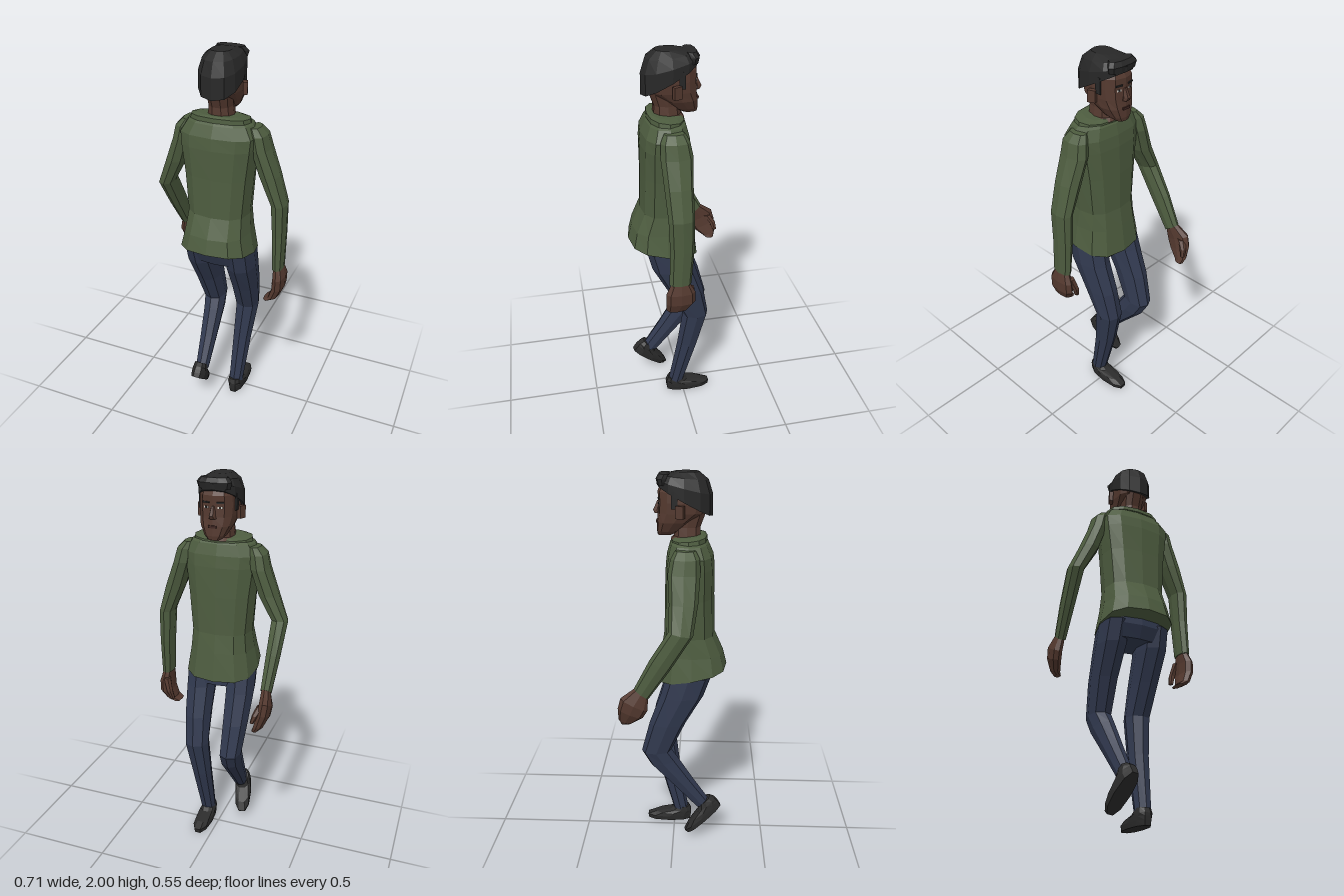
import * as THREE from 'three';

const paint = (name, color) => {
  const m = new THREE.MeshStandardMaterial({ color });
  m.name = name;
  return m;
};

// Faceted skin over elliptical rings listed top to bottom: [x, y, z, halfWidth, halfDepth, slope along z]
function loft(rings, sides = 8, power = 0.85) {
  const pos = [];
  const bend = (v) => Math.sign(v) * Math.abs(v) ** power;
  const point = ([x, y, z, rx, rz, slope = 0], j) => {
    const a = (j / sides) * Math.PI * 2;
    const dz = rz * bend(Math.sin(a));
    return [x + rx * bend(Math.cos(a)), y + slope * dz, z + dz];
  };
  const first = rings[0], last = rings[rings.length - 1];
  for (let j = 0; j < sides; j++) {
    const k = (j + 1) % sides;
    pos.push(...first.slice(0, 3), ...point(first, k), ...point(first, j));
    pos.push(...last.slice(0, 3), ...point(last, j), ...point(last, k));
    for (let i = 0; i < rings.length - 1; i++) {
      const a = point(rings[i], j), b = point(rings[i], k);
      const c = point(rings[i + 1], j), d = point(rings[i + 1], k);
      pos.push(...a, ...b, ...c, ...b, ...d, ...c);
    }
  }
  const g = new THREE.BufferGeometry();
  g.setAttribute('position', new THREE.Float32BufferAttribute(pos, 3));
  g.computeVertexNormals();
  return g;
}

export function createModel() {
  const model = new THREE.Group();
  model.name = 'walkingMan';
  const green = paint('sweaterGreen', 0x4d5c3f);
  const blue = paint('trouserBlue', 0x31394f);
  const skin = paint('skinBrown', 0x54392f);
  const black = paint('hairBlack', 0x272727);
  const leather = paint('shoeBlack', 0x2b2b2b);
  const white = paint('eyeWhite', 0xd8d4cc);
  const lip = paint('lipBrown', 0x3f2622);

  const add = (name, geometry, material, parent = model) => {
    const m = new THREE.Mesh(geometry, material);
    m.name = name;
    parent.add(m);
    return m;
  };
  const box = (name, size, at, material, yaw = 0) => {
    const m = add(name, new THREE.BoxGeometry(...size), material);
    m.position.set(...at);
    m.rotation.y = yaw;
    return m;
  };

  // Sweater body with a flared hem, and the collar
  add('sweater', loft([
    [0, 1.685, 0.075, 0.135, 0.075], [0, 1.665, 0.075, 0.165, 0.095],
    [0, 1.61, 0.08, 0.2, 0.115], [0, 1.55, 0.08, 0.195, 0.122],
    [0, 1.4, 0.078, 0.175, 0.125], [0, 1.2, 0.08, 0.158, 0.13],
    [0, 1.1, 0.095, 0.168, 0.16], [0, 0.985, 0.095, 0.19, 0.18, 0.2],
  ], 12, 0.75), green);
  add('collar', loft([
    [0, 1.698, 0.075, 0.105, 0.075, 0.1], [0, 1.69, 0.075, 0.15, 0.088, 0.1],
    [0, 1.668, 0.075, 0.155, 0.09, 0.1],
  ], 12), green);

  // Sleeves: one hangs, the other swings forward
  const shoulder = (s) => [
    [s * 0.17, 1.655, 0.06, 0.03, 0.05], [s * 0.19, 1.62, 0.06, 0.045, 0.07],
    [s * 0.205, 1.55, 0.055, 0.048, 0.078], [s * 0.25, 1.42, 0.055, 0.052, 0.07],
  ];
  add('leftSleeve', loft([...shoulder(1), [0.303, 1.27, 0.052, 0.04, 0.064],
    [0.308, 1.1, 0.05, 0.034, 0.06], [0.312, 0.91, 0.06, 0.028, 0.056]]), green);
  add('rightSleeve', loft([...shoulder(-1), [-0.313, 1.29, 0.045, 0.043, 0.058, -0.2],
    [-0.312, 1.13, -0.055, 0.036, 0.05, -0.5], [-0.308, 0.975, -0.148, 0.028, 0.036, -0.75]]), green);

  // Hands with curled fingers and thumbs
  add('leftHand', loft([[0.312, 0.925, 0.06, 0.024, 0.04], [0.322, 0.86, 0.06, 0.03, 0.074],
    [0.32, 0.8, 0.06, 0.03, 0.075], [0.3, 0.745, 0.075, 0.026, 0.055],
    [0.268, 0.725, 0.08, 0.02, 0.045]]), skin);
  add('leftThumb', loft([[0.305, 0.88, 0.01, 0.02, 0.022], [0.285, 0.81, -0.005, 0.017, 0.018],
    [0.272, 0.76, 0.005, 0.012, 0.014]], 6), skin);
  add('rightHand', loft([[-0.308, 0.985, -0.145, 0.022, 0.03, -0.75],
    [-0.32, 0.92, -0.185, 0.03, 0.066, -0.5], [-0.315, 0.87, -0.205, 0.03, 0.062, -0.4],
    [-0.295, 0.815, -0.232, 0.024, 0.035, -0.3], [-0.28, 0.795, -0.235, 0.016, 0.022]]), skin);
  add('rightThumb', loft([[-0.305, 0.93, -0.22, 0.02, 0.022], [-0.285, 0.89, -0.25, 0.016, 0.018],
    [-0.272, 0.85, -0.26, 0.011, 0.012]], 6), skin);

  // Trousers
  add('hips', loft([[0, 1.05, 0.08, 0.15, 0.115], [0, 0.97, 0.08, 0.178, 0.115],
    [0, 0.905, 0.065, 0.165, 0.1]], 12, 0.75), blue);
  add('leftTrouserLeg', loft([[0.11, 0.99, 0.08, 0.075, 0.115], [0.112, 0.88, 0.055, 0.075, 0.112],
    [0.108, 0.72, -0.012, 0.069, 0.095], [0.1, 0.56, -0.065, 0.064, 0.07],
    [0.086, 0.35, -0.027, 0.052, 0.058], [0.074, 0.06, 0.04, 0.04, 0.042]]), blue);
  add('rightTrouserLeg', loft([[-0.11, 0.99, 0.08, 0.075, 0.115], [-0.112, 0.88, 0.045, 0.075, 0.112],
    [-0.112, 0.72, -0.03, 0.067, 0.095], [-0.105, 0.55, -0.09, 0.058, 0.08, 0.05],
    [-0.098, 0.48, -0.05, 0.054, 0.075, 0.25], [-0.09, 0.35, 0.05, 0.046, 0.056, 0.3],
    [-0.082, 0.2, 0.166, 0.036, 0.042, 0.3]]), blue);

  // Shoes: one flat, one pushing off its toe
  const shoeShape = () => loft([[0, 0.085, 0.045, 0.036, 0.04], [0, 0.06, 0.035, 0.042, 0.062],
    [0, 0.045, -0.005, 0.046, 0.105], [0, 0.025, -0.03, 0.047, 0.13], [0, 0, -0.03, 0.043, 0.126]], 10);
  add('leftShoe', shoeShape(), leather).position.x = 0.073;
  const backShoe = add('rightShoe', shoeShape(), leather);
  backShoe.position.set(-0.094, 0.133, 0.195);
  backShoe.rotation.set(-0.73, 0.17, 0);

  // Neck and head
  add('neck', loft([[0, 1.83, 0.08, 0.065, 0.085], [0, 1.74, 0.065, 0.058, 0.066],
    [0, 1.695, 0.065, 0.064, 0.068], [0, 1.68, 0.055, 0.09, 0.073]], 10), skin);
  add('head', loft([[0, 1.97, 0.04, 0.065, 0.09], [0, 1.91, 0.042, 0.09, 0.122],
    [0, 1.86, 0.042, 0.093, 0.12], [0, 1.81, 0.035, 0.09, 0.115],
    [0, 1.765, 0, 0.08, 0.084], [0, 1.72, -0.027, 0.055, 0.058],
    [0, 1.7, -0.045, 0.034, 0.036]], 12, 0.75), skin);
  add('nose', loft([[0, 1.862, -0.07, 0.009, 0.014], [0, 1.818, -0.083, 0.016, 0.022],
    [0, 1.803, -0.078, 0.02, 0.018]], 6), skin);

  // Hair cap with a tilted hairline and a raised fringe
  add('hair', loft([[0, 2, 0.06, 0.05, 0.06], [0, 1.975, 0.05, 0.085, 0.115, -0.1],
    [0, 1.93, 0.05, 0.103, 0.137, -0.25], [0, 1.865, 0.052, 0.104, 0.136, -0.54]], 12), black);
  add('fringe', loft([[0, 1.992, -0.045, 0.07, 0.03], [0, 1.97, -0.056, 0.088, 0.032],
    [0, 1.94, -0.052, 0.08, 0.03]], 10), black);

  // Ears, sideburns, eyes and brows
  for (const s of [1, -1]) {
    const side = s > 0 ? 'left' : 'right';
    box(side + 'Ear', [0.022, 0.06, 0.04], [s * 0.105, 1.822, 0.032], skin, s * 0.35);
    box(side + 'Sideburn', [0.008, 0.08, 0.03], [s * 0.092, 1.875, 0.005], black);
    box(side + 'Eye', [0.024, 0.009, 0.005], [s * 0.035, 1.855, -0.07], white, -s * 0.22);
    box(side + 'Iris', [0.009, 0.009, 0.005], [s * 0.035, 1.855, -0.072], black, -s * 0.22);
    box(side + 'Brow', [0.036, 0.007, 0.006], [s * 0.036, 1.878, -0.073], black, -s * 0.22);
  }
  box('mouth', [0.042, 0.012, 0.009], [0, 1.765, -0.083], lip);
  return model;
}
